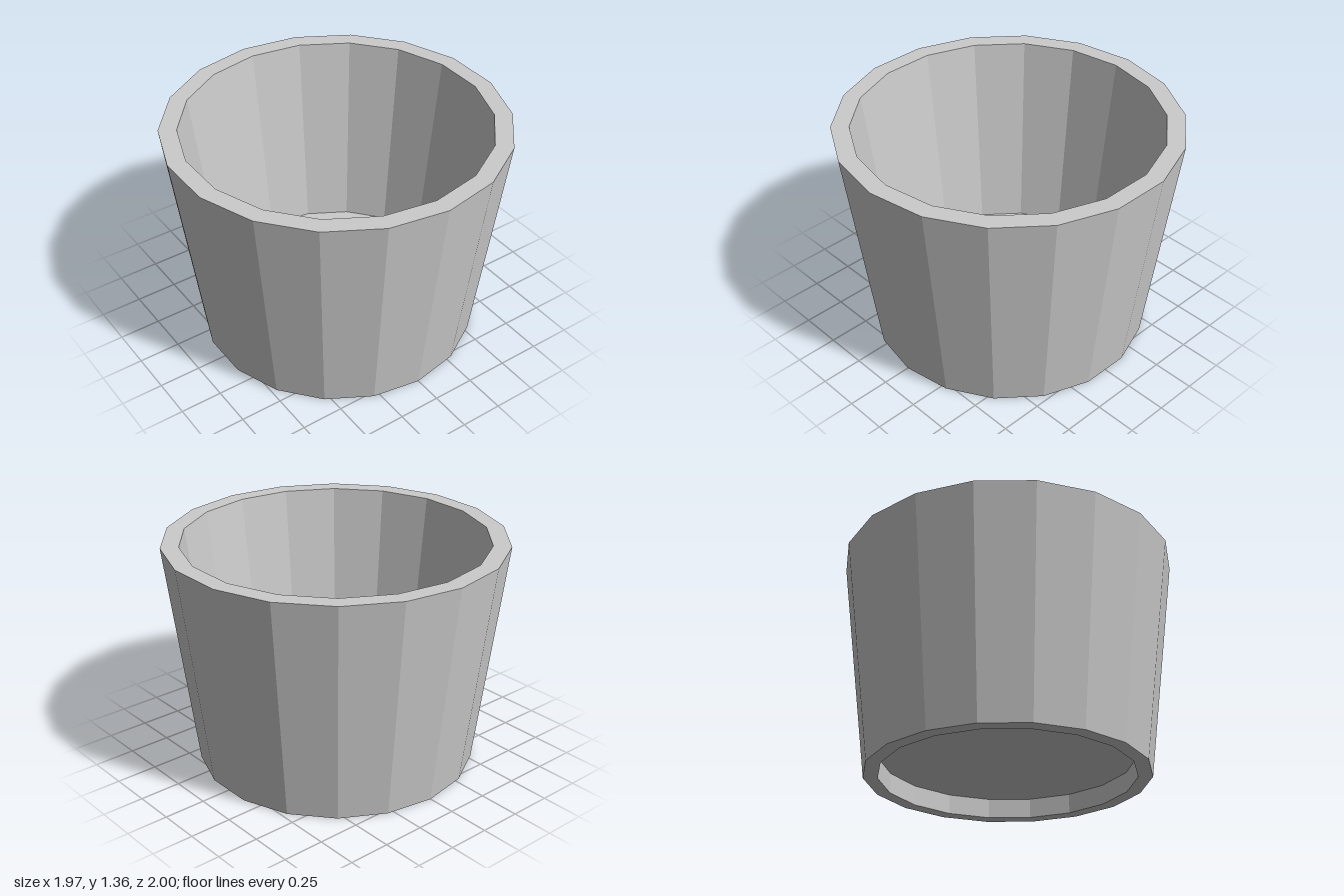
import * as THREE from 'three';

const SIDES = 18;
const HEIGHT = 1.36;

export function createModel() {
  const model = new THREE.Group();
  model.name = 'taperedPot';

  // Closed wall section: recessed underside, foot ring, outer wall, rim, inner wall, floor
  const profile = [
    [0, 0.12], [0.745, 0.12], [0.745, 0], [0.83, 0],
    [1, HEIGHT], [0.895, HEIGHT], [0.745, 0.16], [0, 0.16],
  ].map(([r, y]) => new THREE.Vector2(r, y));

  const pot = new THREE.Mesh(
    new THREE.LatheGeometry(profile, SIDES),
    new THREE.MeshStandardMaterial({ color: 0xcccccc, flatShading: true })
  );
  pot.name = 'pot';
  model.add(pot);

  return model;
}
